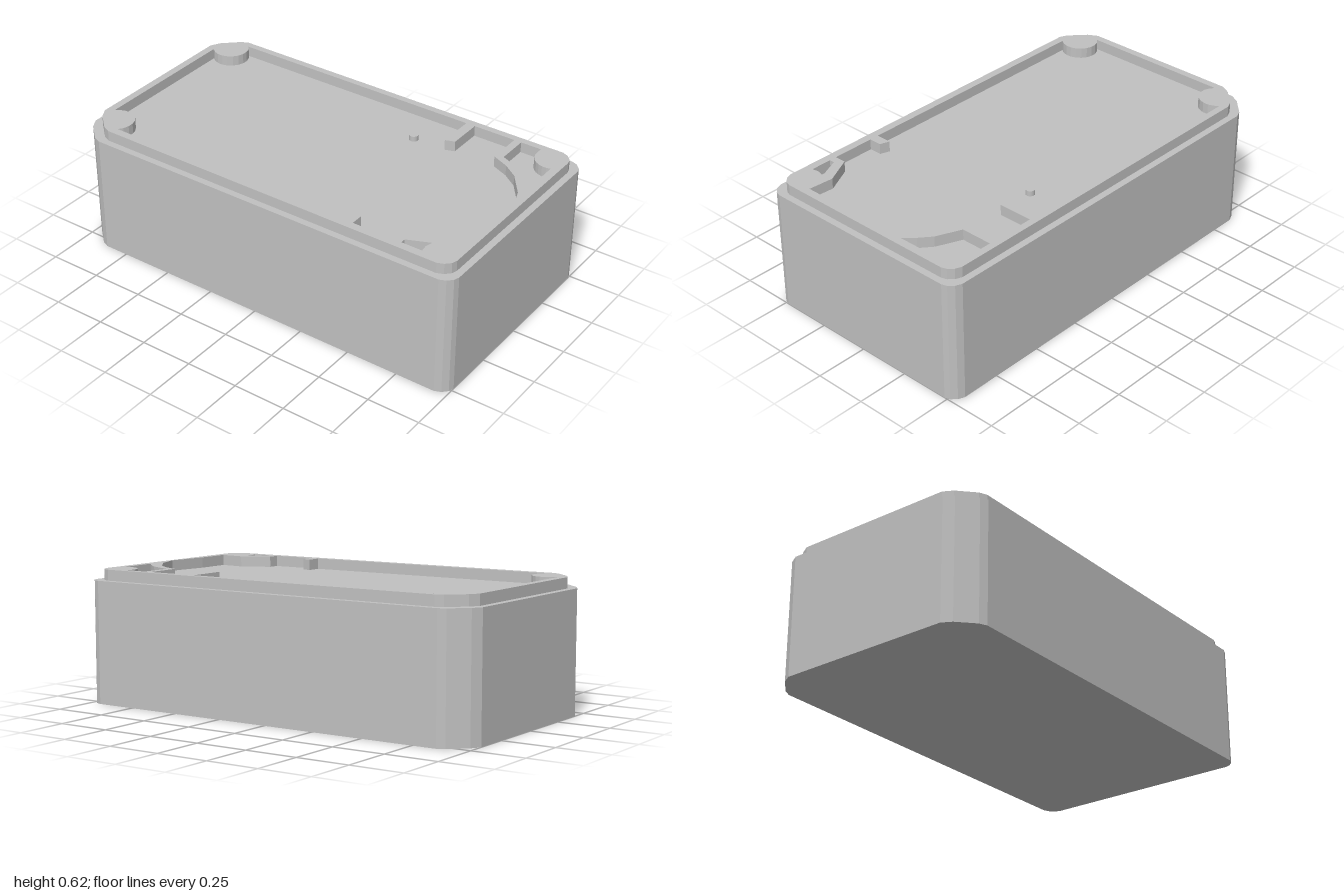
import * as THREE from 'three';

const FLOOR = 0.57, TOP = 0.62;

// Points are [x, z] pairs seen from above; extrusion runs up y.
const toPath = (pts, Type) => new Type(pts.map(([x, z]) => new THREE.Vector2(x, -z)));

function prism(name, outline, holes, y0, y1, material) {
  const shape = toPath(outline, THREE.Shape);
  shape.holes = holes.map((h) => toPath(h, THREE.Path));
  const geo = new THREE.ExtrudeGeometry(shape, { depth: y1 - y0, bevelEnabled: false });
  geo.rotateX(-Math.PI / 2);
  geo.translate(0, y0, 0);
  const mesh = new THREE.Mesh(geo, material);
  mesh.name = name;
  return mesh;
}

// Arc points, angles in degrees measured from +x towards +z
function arc(cx, cz, r, from, to, n = 10) {
  return Array.from({ length: n + 1 }, (_, i) => {
    const a = THREE.MathUtils.degToRad(from + ((to - from) * i) / n);
    return [cx + r * Math.cos(a), cz + r * Math.sin(a)];
  });
}

// Rectangle with broad chamfers at the left end and small ones at the right
function caseOutline(x, z) {
  const half = [
    [-x, z - 0.13], [-x + 0.025, z - 0.085], [-x + 0.1, z - 0.015], [-x + 0.135, z],
    [x - 0.06, z], [x - 0.03, z - 0.012], [x - 0.008, z - 0.035], [x, z - 0.06],
  ];
  return [...half, ...half.map(([px, pz]) => [px, -pz]).reverse()];
}

export function createModel() {
  const model = new THREE.Group();
  model.name = 'enclosure';
  const grey = new THREE.MeshStandardMaterial({ color: 0xc0c0c0 });
  grey.name = 'grey plastic';

  // Solid block
  model.add(prism('body', caseOutline(1, 0.545), [], 0, FLOOR, grey));

  // Main recess, with corner bosses, ribs and the curved right wall cut around
  const recess = [
    ...arc(-0.87, -0.42, 0.085, 137, -45),
    [0.43, -0.48], [0.43, -0.3], [0.475, -0.315], [0.475, -0.48],
    [0.68, -0.48], [0.68, -0.31], [0.76, -0.275], [0.83, -0.225], [0.91, -0.12],
    [0.955, 0], [0.945, 0.08], [0.93, 0.2], [0.93, 0.365],
    [0.81, 0.355], [0.74, 0.39], [0.68, 0.42], [0.68, 0.475],
    [0.475, 0.475], [0.475, 0.415], [0.43, 0.4], [0.43, 0.475],
    ...arc(-0.87, 0.415, 0.085, 45, -137),
  ];

  // Small pockets behind the curved wall
  const backPocket = [
    [0.715, -0.48], [0.815, -0.48], ...arc(0.9, -0.445, 0.085, 180, 70, 8),
    [0.93, -0.19], [0.885, -0.235], [0.83, -0.28], [0.715, -0.33],
  ];
  const frontPocket = [[0.715, 0.475], [0.715, 0.45], [0.82, 0.405], [0.81, 0.44], [0.815, 0.475]];

  model.add(prism('rim', caseOutline(0.968, 0.513), [recess, backPocket, frontPocket],
    FLOOR - 0.005, TOP, grey));

  // Locating peg on the floor
  const peg = new THREE.Mesh(new THREE.CylinderGeometry(0.021, 0.021, 0.03, 16), grey);
  peg.name = 'peg';
  peg.position.set(0.27, FLOOR + 0.01, -0.295);
  model.add(peg);

  return model;
}
